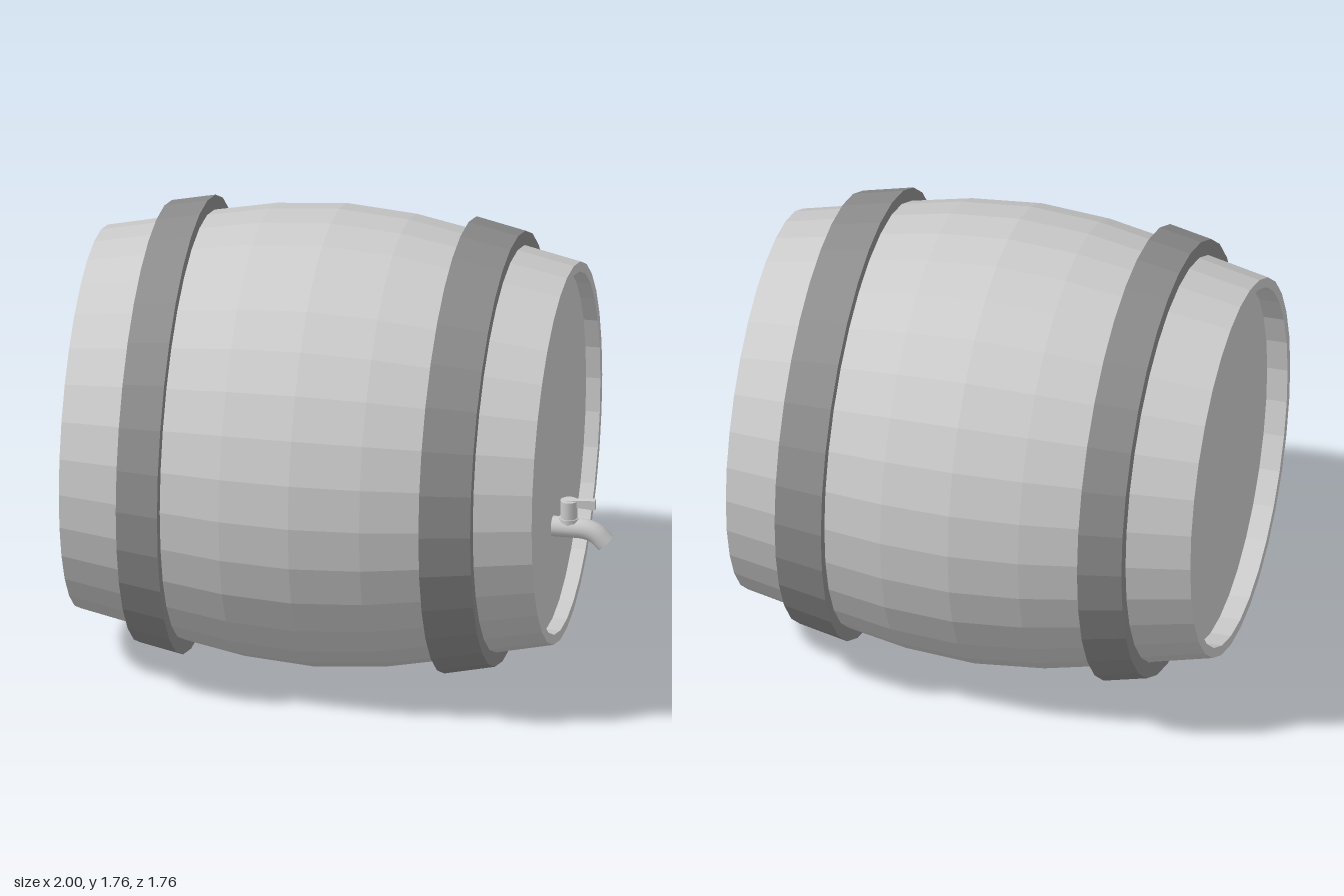
import * as THREE from 'three';

const SIDES = 32;
const AXIS_Y = 0.88;

const wood = new THREE.MeshStandardMaterial({ color: 0xcccccc, flatShading: true });
const iron = new THREE.MeshStandardMaterial({ color: 0x8c8c8c, flatShading: true });
const metal = new THREE.MeshStandardMaterial({ color: 0xcccccc });

// Turns a profile of [x, radius] points around the barrel's horizontal axis
function turned(name, profile, material) {
  const points = profile.map(([x, r]) => new THREE.Vector2(r, x));
  const geometry = new THREE.LatheGeometry(points, SIDES);
  geometry.rotateZ(-Math.PI / 2);
  const mesh = new THREE.Mesh(geometry, material);
  mesh.name = name;
  mesh.position.y = AXIS_Y;
  return mesh;
}

// Metal hoop as a tapered band with thickness
function hoop(name, x0, r0, x1, r1) {
  const t = 0.06;
  return turned(name, [[x0, r0 - t], [x0, r0], [x1, r1], [x1, r1 - t], [x0, r0 - t]], iron);
}

function createTap() {
  const tap = new THREE.Group();
  tap.name = 'tap';
  const add = (name, geometry, x, y, z = 0) => {
    const mesh = new THREE.Mesh(geometry, metal);
    mesh.name = name;
    mesh.position.set(x, y, z);
    tap.add(mesh);
    return mesh;
  };

  // Bent spout, running out of the lid and down
  const path = new THREE.CurvePath();
  const v = (x, y) => new THREE.Vector3(x, y, 0);
  path.add(new THREE.LineCurve3(v(0.75, 0.573), v(0.86, 0.573)));
  path.add(new THREE.QuadraticBezierCurve3(v(0.86, 0.573), v(0.915, 0.573), v(0.945, 0.545)));
  path.add(new THREE.LineCurve3(v(0.945, 0.545), v(0.97, 0.52)));
  add('spout', new THREE.TubeGeometry(path, 20, 0.039, 16), 0, 0);

  // Closed mouth of the spout
  const mouth = add('spoutMouth', new THREE.CircleGeometry(0.039, 16), 0.97, 0.52);
  mouth.lookAt(1.97, -0.48, 0);

  // Valve stem with its collar
  add('valveStem', new THREE.CylinderGeometry(0.033, 0.033, 0.12, 16), 0.828, 0.625);
  add('valveCollar', new THREE.CylinderGeometry(0.038, 0.038, 0.015, 16), 0.828, 0.607);

  // Lever, slightly taller towards its tip
  const lever = new THREE.Shape([
    new THREE.Vector2(0.82, 0.664), new THREE.Vector2(0.93, 0.655),
    new THREE.Vector2(0.93, 0.694), new THREE.Vector2(0.82, 0.687),
  ]);
  add('lever', new THREE.ExtrudeGeometry(lever, { depth: 0.024, bevelEnabled: false }), 0, 0, -0.012);
  return tap;
}

export function createModel() {
  const model = new THREE.Group();
  model.name = 'barrel';

  // Bulging staves with rims and recessed lids
  model.add(turned('barrelBody', [
    [-0.92, 0], [-0.92, 0.69], [-1, 0.69], [-1, 0.728],
    [-0.76, 0.778], [-0.59, 0.817], [-0.36, 0.86], [-0.09, 0.88],
    [0.18, 0.86], [0.41, 0.817], [0.58, 0.778], [0.82, 0.728],
    [0.82, 0.69], [0.765, 0.69], [0.765, 0],
  ], wood));

  model.add(hoop('leftHoop', -0.76, 0.84, -0.595, 0.873));
  model.add(hoop('rightHoop', 0.41, 0.868, 0.602, 0.828));
  model.add(createTap());
  return model;
}
